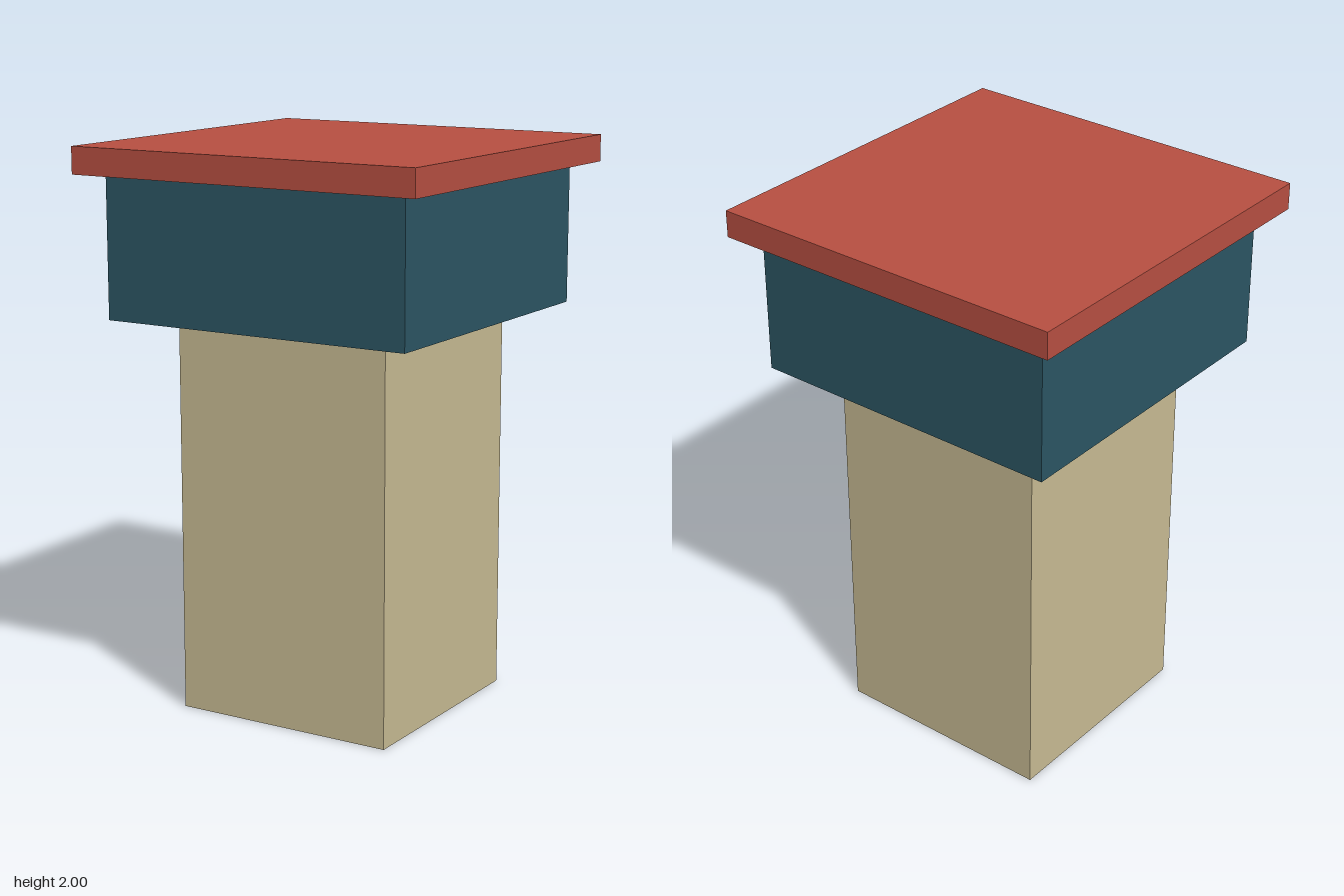
import * as THREE from 'three';

const material = (name, color) => {
  const m = new THREE.MeshStandardMaterial({ color });
  m.name = name;
  return m;
};

// Square block centred on the vertical axis, spanning bottom to top
function block(name, width, bottom, top, mat) {
  const mesh = new THREE.Mesh(new THREE.BoxGeometry(width, top - bottom, width), mat);
  mesh.name = name;
  mesh.position.y = (bottom + top) / 2;
  return mesh;
}

export function createModel() {
  const model = new THREE.Group();
  model.name = 'tower';
  model.add(
    block('shaft', 0.82, 0, 1.407, material('sandstone', 0xc9bc94)),
    block('upperRoom', 1.16, 1.407, 1.905, material('deepTeal', 0x2c5664)),
    block('flatRoof', 1.32, 1.905, 2, material('terracotta', 0xb85042)),
  );
  return model;
}
